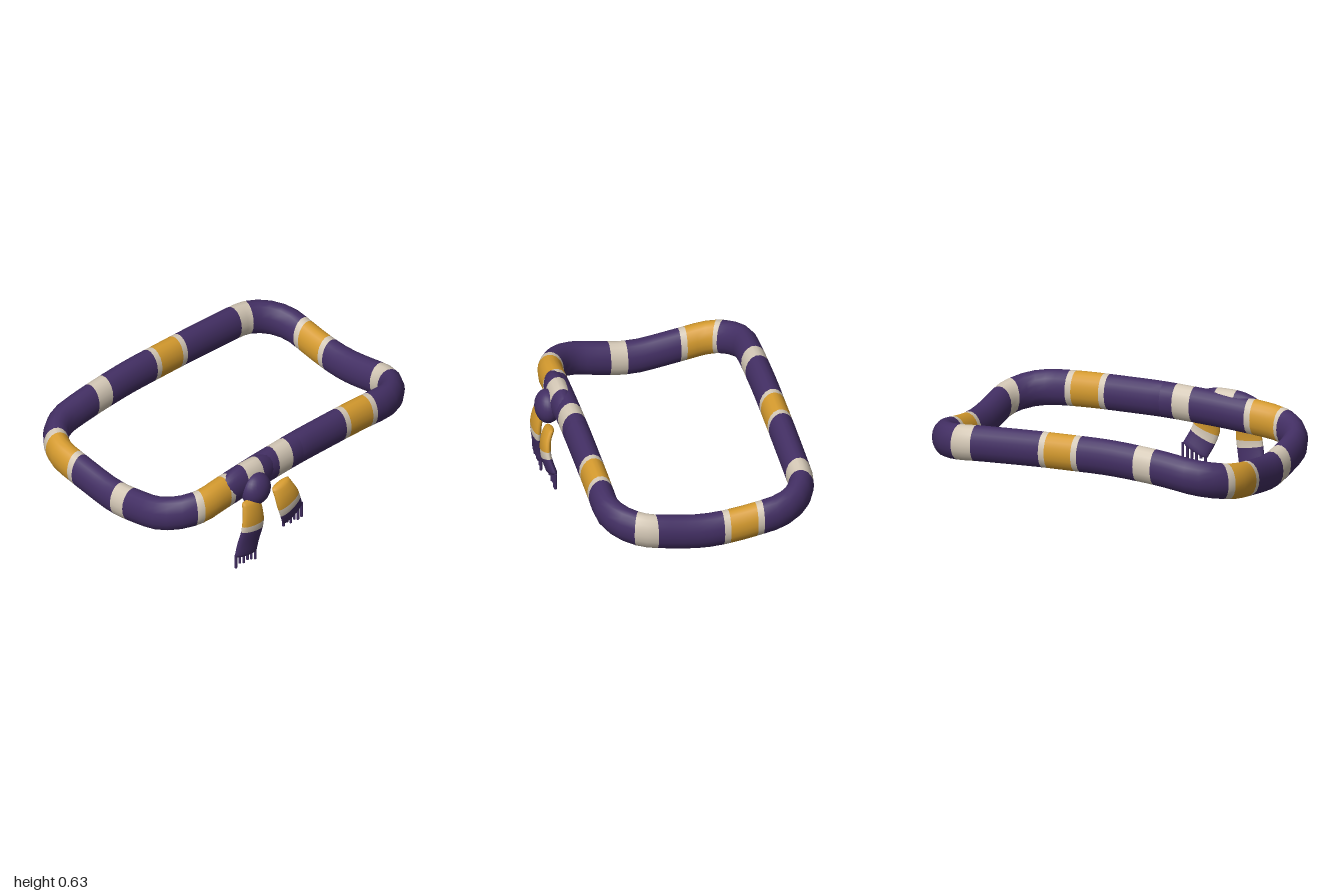
import * as THREE from 'three';

const mat = (name, color) => new THREE.MeshStandardMaterial({ name, color });
const MATS = [mat('purpleWool', 0x432f64), mat('mustardWool', 0xd49a2e), mat('creamWool', 0xd4c8b6)];
const P = 0, M = 1, C = 2;
const SIDES = 18;

// Elliptical tube along point(t). stripes: [tEnd, colour] in order from t = 0.
function loft(name, point, stripes, step, ru, rv, v, extra = []) {
  const end = stripes[stripes.length - 1][0];
  const ts = [0, ...extra];
  let start = 0;
  for (const [stop] of stripes) {
    const n = Math.max(1, Math.ceil((stop - start) / step));
    for (let i = 1; i <= n; i++) ts.push(start + (stop - start) * i / n);
    start = stop;
  }
  ts.sort((a, b) => a - b);
  const pos = [], index = [];
  const geo = new THREE.BufferGeometry();
  ts.forEach((t, i) => {
    const c = point(t);
    const u = v.clone().cross(point(t + 0.002).sub(point(t - 0.002))).normalize();
    for (let j = 0; j < SIDES; j++) {
      const a = j / SIDES * Math.PI * 2;
      const p = c.clone().addScaledVector(u, ru(t) * Math.cos(a)).addScaledVector(v, rv(t) * Math.sin(a));
      pos.push(p.x, p.y, p.z);
    }
    if (i === ts.length - 1) return;
    const mid = (t + ts[i + 1]) / 2;
    geo.addGroup(index.length, SIDES * 6, stripes.find(s => mid < s[0])[1]);
    for (let j = 0; j < SIDES; j++) {
      const k = (j + 1) % SIDES, a = i * SIDES + j, b = i * SIDES + k;
      index.push(a, b, a + SIDES, b, b + SIDES, a + SIDES);
    }
  });
  geo.setAttribute('position', new THREE.Float32BufferAttribute(pos, 3));
  geo.setIndex(index);
  geo.computeVertexNormals();
  const mesh = new THREE.Mesh(geo, MATS);
  mesh.name = name;
  return mesh;
}

// Rounded-rectangle plan of the loop, by distance from the front centre towards +x
const HX = 0.925, ZF = 0.52, ZB = -0.625, R = 0.24;
const ARC = R * Math.PI / 2, SX = 2 * (HX - R), SZ = ZF - ZB - 2 * R;
const LENGTH = 2 * (SX + SZ) + 4 * ARC;
function plan(s) {
  s = ((s % LENGTH) + LENGTH) % LENGTH;
  let x = 0, z = ZF, a = 0;
  const runs = [[SX / 2, 0], [ARC, 1], [SZ, 0], [ARC, 1], [SX, 0], [ARC, 1], [SZ, 0], [ARC, 1], [SX / 2, 0]];
  for (const [len, bend] of runs) {
    const d = Math.min(s, len);
    if (bend) {
      const b = a + d / R;
      x += R * (Math.sin(b) - Math.sin(a));
      z -= R * (Math.cos(a) - Math.cos(b));
      a = b;
    } else {
      x += d * Math.cos(a);
      z -= d * Math.sin(a);
    }
    s -= d;
    if (s <= 0) break;
  }
  return [x, z];
}

// Height of the loop: it drapes down at both sides
const HEIGHTS = [[0, 0.498], [0.47, 0.485], [0.7, 0.468], [0.87, 0.445], [1.06, 0.405], [1.34, 0.362],
  [1.54, 0.38], [1.73, 0.42], [1.92, 0.457], [2.1, 0.483], [2.55, 0.51], [3.0, 0.526], [3.3, 0.512],
  [3.47, 0.493], [3.66, 0.462], [3.85, 0.42], [4.24, 0.352], [4.52, 0.395], [4.7, 0.437],
  [4.89, 0.468], [5.2, 0.488], [LENGTH, 0.498]];
function rawHeight(s) {
  s = ((s % LENGTH) + LENGTH) % LENGTH;
  const i = Math.max(1, HEIGHTS.findIndex(h => s <= h[0]));
  const [a, ya] = HEIGHTS[i - 1], [b, yb] = HEIGHTS[i];
  return ya + (yb - ya) * (s - a) / (b - a);
}
function loopPoint(s) {
  let y = 0;
  for (let k = -4; k <= 4; k++) y += rawHeight(s + k * 0.025) / 9;
  const [x, z] = plan(s);
  return new THREE.Vector3(x, y, z);
}

// Round-ended profile, 0 at both ends of 0..1
const rounded = (t, cap) => {
  const e = Math.min(1, Math.max(0, Math.min(t, 1 - t)) / cap);
  return Math.sqrt(Math.max(0, 1 - (1 - e) ** 2));
};

// Hanging end with a mustard, a cream and a purple part and a fringe
function makeTail(name, points, creamStart, creamEnd, fringe) {
  const group = new THREE.Group();
  group.name = name;
  const curve = new THREE.CatmullRomCurve3(points.map(p => new THREE.Vector3(...p)));
  const at = t => {
    const c = Math.min(1, Math.max(0, t));
    return curve.getPointAt(c).addScaledVector(curve.getTangentAt(c), t - c);
  };
  const width = t => (0.064 + 0.021 * Math.min(1, t / 0.4)) * rounded(t, 0.03);
  const thick = t => 0.027 * rounded(t, 0.07);
  group.add(loft(name + 'Cloth', at, [[creamStart, M], [creamEnd, C], [1, P]], 0.07, width, thick,
    new THREE.Vector3(0, 0, 1), [0.004, 0.012, 0.03, 0.97, 0.988, 0.996]));
  const { from, to, bottoms } = fringe;
  bottoms.forEach((bottom, i) => {
    const f = i / (bottoms.length - 1);
    const x = from[0] + (to[0] - from[0]) * f, top = from[1] + (to[1] - from[1]) * f;
    const strand = new THREE.Mesh(new THREE.CylinderGeometry(0.008, 0.008, top - bottom, 6), MATS[P]);
    strand.position.set(x, (top + bottom) / 2, points[points.length - 1][2]);
    strand.name = name + 'Fringe' + (i + 1);
    group.add(strand);
  });
  return group;
}

export function createModel() {
  const model = new THREE.Group();
  model.name = 'scarf';
  const up = new THREE.Vector3(0, 1, 0);

  // Striped loop: wide mustard stripes edged in cream, narrow cream stripes between
  const stripes = [];
  const wide = [[0.35, 0.6], [1.457, 1.69], [2.582, 2.825], [3.705, 3.955], [4.787, 5.038]];
  const narrow = [[0.96, 1.07], [2.04, 2.15], [3.184, 3.294], [4.266, 4.366], [5.388, 5.498]];
  wide.forEach(([a, b], i) => {
    stripes.push([a, P], [a + 0.037, C], [b - 0.037, M], [b, C], [narrow[i][0], P], [narrow[i][1], C]);
  });
  stripes.push([LENGTH, P]);
  model.add(loft('scarfLoop', loopPoint, stripes, 0.08, () => 0.074, () => 0.106, up));

  // Short wrap lying over the loop behind the knot
  const wrap = loft('knotWrap', t => new THREE.Vector3(-0.63 + 0.46 * t, 0.503, 0.54),
    [[0.39, P], [0.66, C], [1, P]], 0.06, t => 0.07 * rounded(t, 0.45), t => 0.108 * rounded(t, 0.45), up, [0.01, 0.03]);
  model.add(wrap);

  // Knot
  const knot = new THREE.Mesh(new THREE.SphereGeometry(1, 24, 16), MATS[P]);
  knot.name = 'knot';
  knot.scale.set(0.097, 0.101, 0.075);
  knot.position.set(-0.398, 0.457, 0.608);
  model.add(knot);

  // Hanging ends
  model.add(makeTail('longTail',
    [[-0.463, 0.43, 0.63], [-0.467, 0.35, 0.652], [-0.475, 0.26, 0.66], [-0.497, 0.15, 0.645], [-0.513, 0.065, 0.638]],
    0.41, 0.52, { from: [-0.587, 0.1], to: [-0.433, 0.08], bottoms: [0.012, 0.03, 0.018, 0.025, 0.015, 0] }));
  model.add(makeTail('shortTail',
    [[-0.228, 0.43, 0.632], [-0.212, 0.36, 0.66], [-0.183, 0.27, 0.666], [-0.133, 0.165, 0.638]],
    0.48, 0.65, { from: [-0.205, 0.155], to: [-0.06, 0.21], bottoms: [0.115, 0.13, 0.11, 0.12, 0.105, 0.11] }));
  return model;
}
